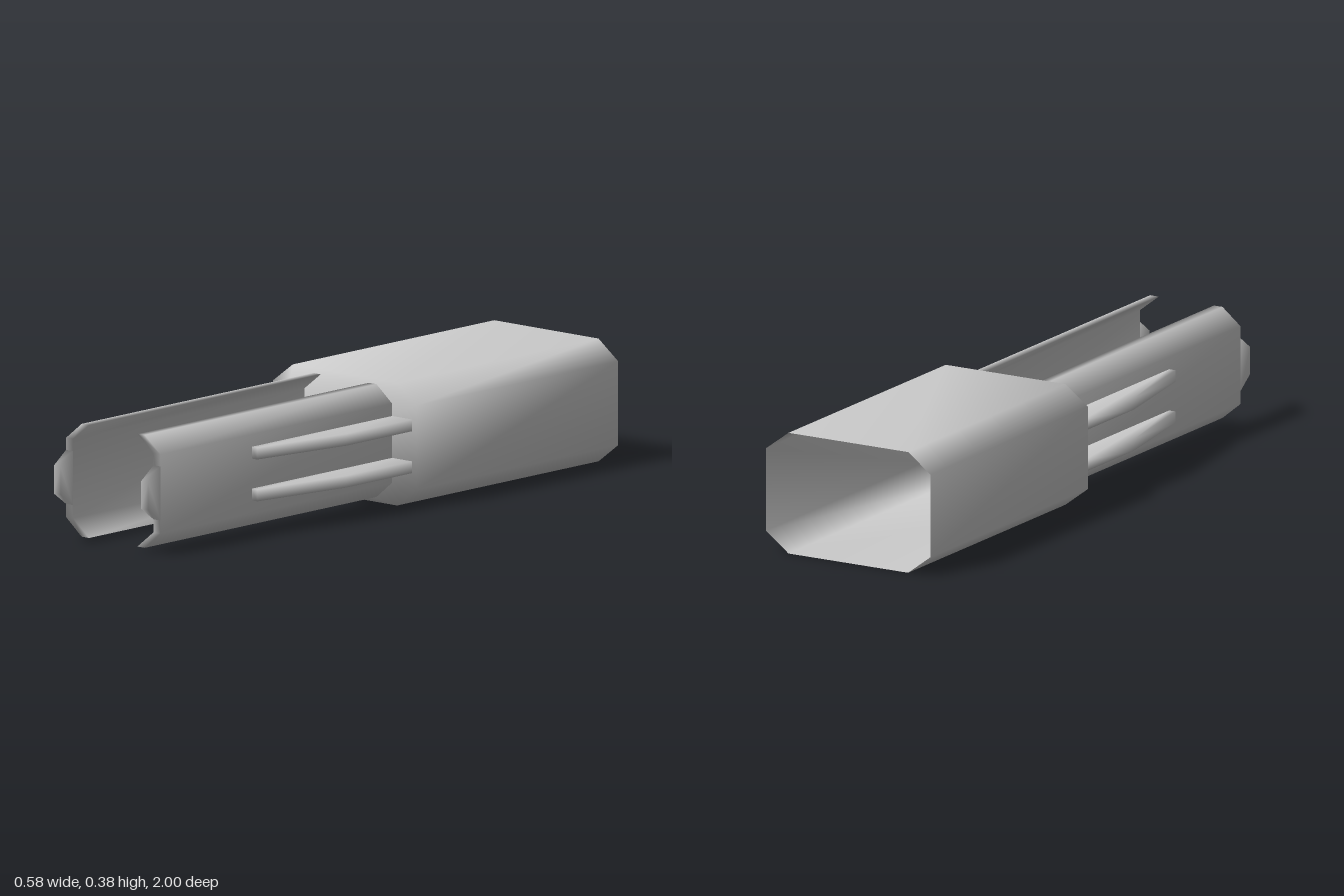
import * as THREE from 'three';
import { mergeVertices } from 'three/addons/utils/BufferGeometryUtils.js';

const material = new THREE.MeshStandardMaterial({ color: 0xcccccc });
const shellMaterial = new THREE.MeshStandardMaterial({ color: 0xcccccc, side: THREE.DoubleSide });

// Straight extrusion of an outline along +z
function prism(points, depth) {
  const shape = new THREE.Shape(points.map(([x, y]) => new THREE.Vector2(x, y)));
  return new THREE.ExtrudeGeometry(shape, { depth, bevelEnabled: false });
}

// Weld corners so that shading flows over every edge
function smooth(geometry) {
  geometry.deleteAttribute('uv');
  geometry.deleteAttribute('normal');
  geometry.clearGroups();
  const welded = mergeVertices(geometry, 1e-4);
  welded.computeVertexNormals();
  return welded;
}

function part(name, geometry, mat = material) {
  const mesh = new THREE.Mesh(smooth(geometry), mat);
  mesh.name = name;
  return mesh;
}

// Remove the triangles lying in the plane z = 0
function openBack(geometry) {
  const p = geometry.attributes.position;
  const kept = [];
  for (let i = 0; i < p.count; i += 3) {
    if ([0, 1, 2].every(k => Math.abs(p.getZ(i + k)) < 1e-6)) continue;
    for (let k = 0; k < 3; k++) kept.push(p.getX(i + k), p.getY(i + k), p.getZ(i + k));
  }
  const open = new THREE.BufferGeometry();
  open.setAttribute('position', new THREE.Float32BufferAttribute(kept, 3));
  return open;
}

export function createModel() {
  const model = new THREE.Group();
  model.name = 'connector';

  // Eight-sided sleeve, closed at the front and open at the back
  const outline = [
    [0.21, 0], [0.289, 0.06], [0.289, 0.316], [0.21, 0.375],
    [-0.21, 0.375], [-0.289, 0.316], [-0.289, 0.06], [-0.21, 0],
  ];
  const sleeve = part('sleeve', openBack(prism(outline, 0.905)), shellMaterial);
  sleeve.position.z = -1;
  model.add(sleeve);

  for (const s of [1, -1]) {
    const side = new THREE.Group();
    side.name = s > 0 ? 'leftProng' : 'rightProng';
    model.add(side);

    // Channel-shaped blade
    const section = [
      [0.097, 0.015], [0.127, 0.015], [0.19, 0.067], [0.19, 0.309],
      [0.127, 0.36], [0.097, 0.36], [0.162, 0.309], [0.162, 0.067],
    ].map(([x, y]) => [s * x, y]);
    const blade = part('blade', prism(section, 1.04));
    blade.position.z = -0.095;
    side.add(blade);

    // Tapered tip on the flat of the blade
    const tip = prism([[0.945, 0.107], [1, 0.147], [1, 0.232], [0.945, 0.272]], 0.028);
    tip.rotateY(-Math.PI / 2);
    const tab = part('tip', tip);
    tab.position.x = s > 0 ? 0.19 : -0.162;
    side.add(tab);

    // Two ribs tapering toward the tip
    for (const top of [0.143, 0.271]) {
      const rib = prism([
        [0.188, -0.095], [0.27, -0.095], [0.27, 0.2], [0.212, 0.535], [0.188, 0.535],
      ].map(([x, z]) => [s * x, z]), 0.036);
      rib.rotateX(Math.PI / 2);
      const fin = part('rib', rib);
      fin.position.y = top;
      side.add(fin);
    }
  }
  return model;
}
